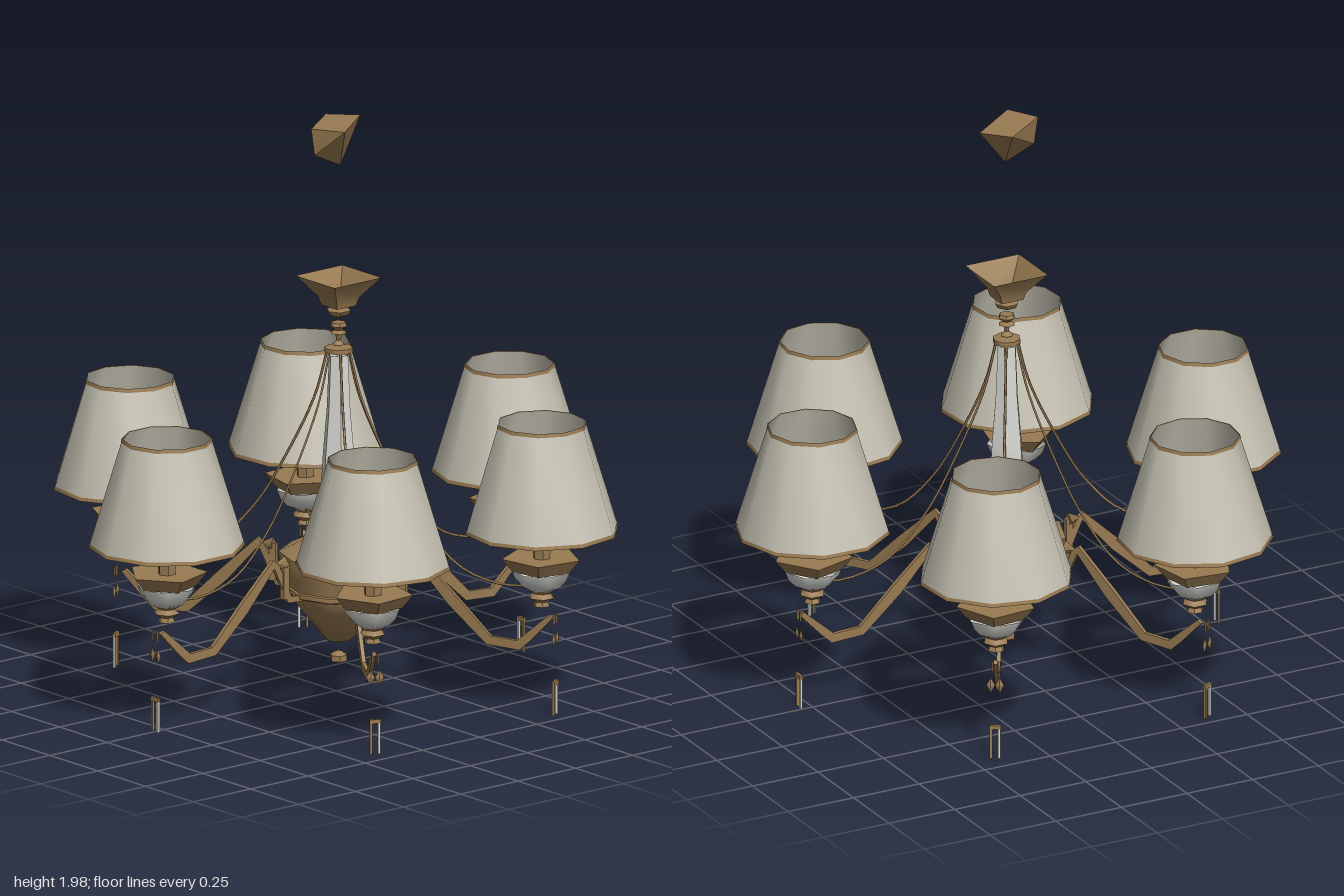
import * as THREE from 'three';
import { toCreasedNormals } from 'three/addons/utils/BufferGeometryUtils.js';
import { ConvexGeometry } from 'three/addons/geometries/ConvexGeometry.js';

const mat = (name, color) => new THREE.MeshStandardMaterial({ name, color, side: THREE.DoubleSide });

export function createModel() {
  const bronze = mat('bronze', 0x997b52);
  const fabric = mat('shade fabric', 0xc6c2b3);
  const glass = mat('pale glass', 0xd8d8d3);

  const model = new THREE.Group();
  model.name = 'chandelier';

  const add = (parent, name, geometry, material, x = 0, y = 0, z = 0) => {
    const mesh = new THREE.Mesh(geometry, material);
    mesh.name = name;
    mesh.position.set(x, y, z);
    parent.add(mesh);
    return mesh;
  };
  // Turned part from [radius, height] pairs listed bottom to top
  const turned = (points, sides, start = 0) => toCreasedNormals(
    new THREE.LatheGeometry(points.map(p => new THREE.Vector2(...p)), sides, start), 0.85);
  // Radial plate: outline in (radius, height), thin across
  const plate = (outline, depth) => {
    const g = new THREE.ExtrudeGeometry(
      new THREE.Shape(outline.map(p => new THREE.Vector2(...p))),
      { depth, bevelEnabled: false });
    return g.translate(0, 0, -depth / 2).rotateY(-Math.PI / 2);
  };

  const hub = new THREE.Group();
  hub.name = 'hub';
  hub.position.z = -0.01;
  model.add(hub);

  // Central body and lower finial
  add(hub, 'body', turned([[0, 0.165], [0.045, 0.18], [0.14, 0.3], [0.172, 0.355], [0.172, 0.365],
    [0.197, 0.42], [0.202, 0.485], [0.05, 0.555], [0, 0.56]], 9), bronze);
  add(hub, 'bodyBand', turned([[0.17, 0.345], [0.18, 0.35], [0.18, 0.365], [0.17, 0.37]], 9), bronze);
  add(hub, 'finial', turned([[0, 0.1], [0.03, 0.105], [0.03, 0.125], [0.015, 0.135], [0, 0.14]], 6), bronze);

  // Glass column with its metal collars
  add(hub, 'column', turned([[0.035, 0.645], [0.062, 0.72], [0.056, 0.82], [0.042, 0.98],
    [0.034, 1.17]], 6), glass);
  add(hub, 'columnFoot', turned([[0, 0.635], [0.05, 0.635], [0.05, 0.65], [0, 0.65]], 6), bronze);
  add(hub, 'columnCap', turned([[0, 1.175], [0.048, 1.18], [0.048, 1.195], [0, 1.2]], 8), bronze);

  // Stem of knobs and the upper cup
  add(hub, 'stem', turned([[0, 1.2], [0.022, 1.205], [0.008, 1.22], [0.012, 1.24], [0.03, 1.245],
    [0.012, 1.255], [0.03, 1.27], [0.025, 1.282], [0, 1.285]], 6), bronze);
  add(hub, 'stemKnob', turned([[0, 1.295], [0.035, 1.31], [0.043, 1.325], [0.02, 1.335], [0, 1.335]], 6), bronze);
  add(hub, 'upperCup', turned([[0, 1.335], [0.058, 1.34], [0.07, 1.37], [0.145, 1.44]], 4, Math.PI / 4), bronze);

  // Ceiling canopy
  const canopy = [[-0.03, 1.975, -0.13], [0.105, 1.975, 0.05], [0, 1.975, 0.11], [-0.115, 1.975, -0.05],
    [0.01, 1.83, -0.01], [0, 1.88, 0.095]].map(p => new THREE.Vector3(...p));
  add(model, 'canopy', new ConvexGeometry(canopy), bronze);

  // Geometry shared by all six branches, written for a branch pointing to +z
  const armShape = plate([[0.15, 0.34], [0.225, 0.345], [0.285, 0.475], [0.4, 0.345], [0.54, 0.22],
    [0.66, 0.213], [0.7, 0.25], [0.78, 0.335], [0.765, 0.345], [0.65, 0.245], [0.555, 0.25], [0.43, 0.375],
    [0.29, 0.505], [0.265, 0.485], [0.21, 0.365], [0.15, 0.36]], 0.014);
  const chainCurve = new THREE.CatmullRomCurve3([[0.04, 1.185], [0.085, 1.02], [0.19, 0.8], [0.3, 0.62],
    [0.44, 0.48], [0.58, 0.435], [0.72, 0.44]].map(([r, y]) => new THREE.Vector3(0, y, r)));
  const chainShape = new THREE.TubeGeometry(chainCurve, 24, 0.0045, 4);
  const knobShape = new THREE.ConeGeometry(0.025, 0.05, 4).rotateX(Math.PI / 2);

  const shadeShape = turned([[0.262, 0.64], [0.15, 1.01]], 10);
  const bottomTrim = turned([[0.2635, 0.637], [0.2605, 0.65]], 10);
  const topTrim = turned([[0.1545, 1.0], [0.1515, 1.013]], 10);
  const bowlShape = turned([[0.04, 0.43], [0.065, 0.442], [0.09, 0.47], [0.102, 0.5]], 7);
  const saucerShape = turned([[0.1, 0.498], [0.138, 0.545], [0, 0.54]], 5);
  const cupShape = turned([[0, 0.37], [0.03, 0.375], [0.022, 0.39], [0.045, 0.405], [0.03, 0.42],
    [0.05, 0.435], [0, 0.44]], 6);
  const candleShape = turned([[0.03, 0.535], [0.038, 0.72], [0, 0.725]], 6);
  const bulbShape = turned([[0, 0.72], [0.032, 0.75], [0.036, 0.78], [0.015, 0.82], [0, 0.835]], 6);
  const beadShape = new THREE.OctahedronGeometry(1);

  const lamps = [[0, 0.74], [0.64, 0.375], [0.655, -0.35], [0.02, -0.74], [-0.635, -0.395], [-0.66, 0.35]];
  lamps.forEach(([x, z], i) => {
    const branch = new THREE.Group();
    branch.name = 'branch' + (i + 1);
    branch.rotation.y = Math.atan2(x, z + 0.01);
    hub.add(branch);
    const reach = Math.hypot(x, z + 0.01);

    // Arm, its knob and the draped chain
    add(branch, 'arm', armShape, bronze);
    add(branch, 'armKnob', knobShape, bronze, 0, 0.485, 0.26);
    add(branch, 'armBracket', new THREE.BoxGeometry(0.02, 0.13, 0.025), bronze, 0, 0.425, 0.235);
    add(branch, 'chain', chainShape, bronze);

    // Lamp holder and shade
    const lamp = new THREE.Group();
    lamp.name = 'lamp';
    lamp.position.z = reach;
    branch.add(lamp);
    add(lamp, 'shade', shadeShape, fabric);
    add(lamp, 'shadeBottomTrim', bottomTrim, bronze);
    add(lamp, 'shadeTopTrim', topTrim, bronze);
    add(lamp, 'bowl', bowlShape, glass);
    add(lamp, 'saucer', saucerShape, bronze);
    add(lamp, 'cup', cupShape, bronze);
    add(lamp, 'candle', candleShape, bronze);
    add(lamp, 'bulb', bulbShape, glass);

    // Flat hanging drops and paired rods below the lamp
    for (const s of [-1, 1]) {
      add(lamp, 'dropLink', new THREE.BoxGeometry(0.006, 0.035, 0.006), bronze, s * 0.01, 0.333, 0.05);
      add(lamp, 'drop', beadShape, bronze, s * 0.015, 0.265, 0.05).scale.set(0.015, 0.028, 0.006);
      add(lamp, 'rod', new THREE.BoxGeometry(0.009, 0.11, 0.008), s < 0 ? bronze : glass, s * 0.014, 0.055, 0.05);
    }
    add(lamp, 'rodCap', new THREE.BoxGeometry(0.038, 0.014, 0.01), bronze, 0, 0.113, 0.05);
  });

  return model;
}
